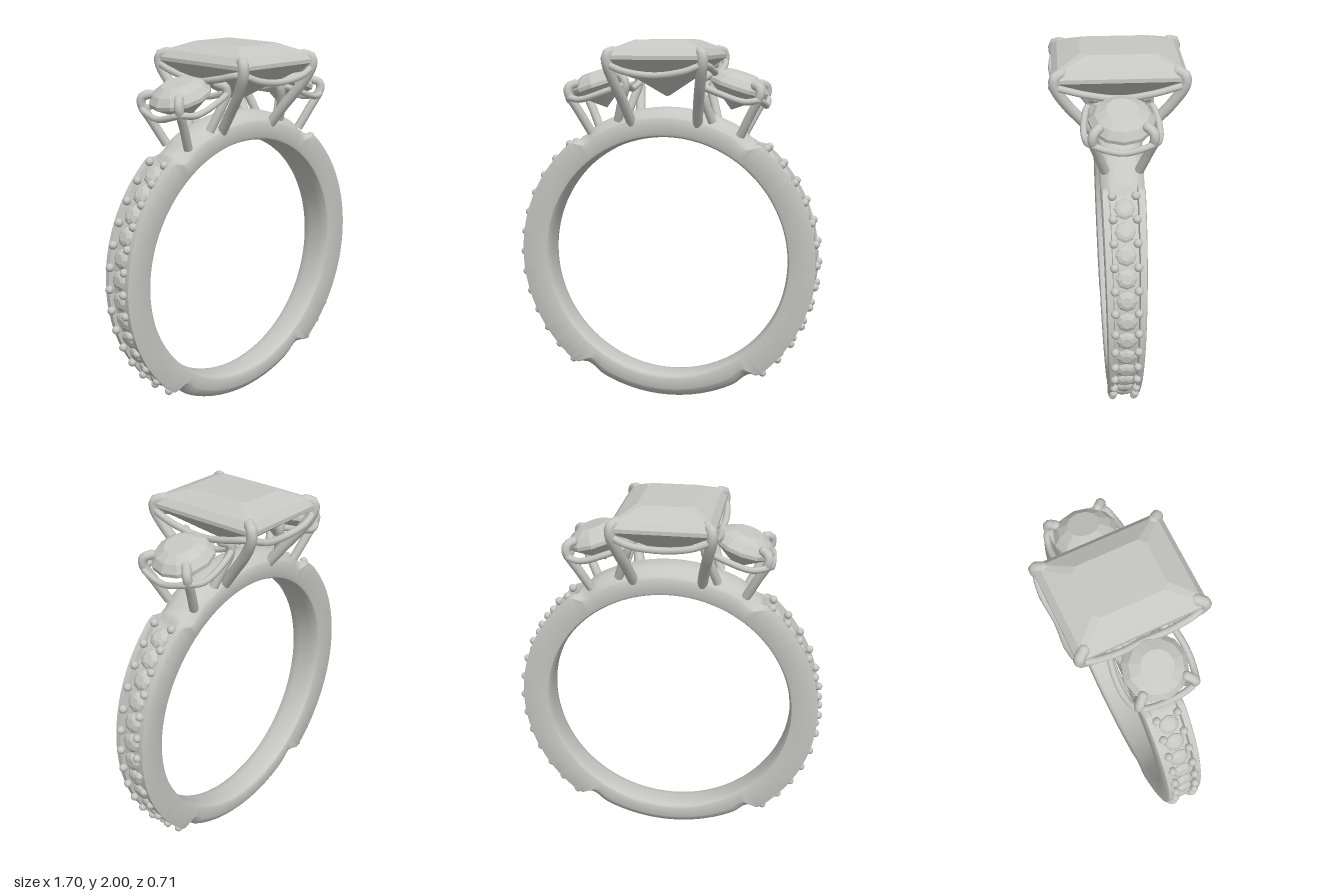
import * as THREE from 'three';
import { toCreasedNormals } from 'three/addons/utils/BufferGeometryUtils.js';

const metal = new THREE.MeshStandardMaterial({ color: 0xc6c6c2 });
metal.name = 'silver grey';

const CENTRE_Y = 0.81;
const rad = THREE.MathUtils.degToRad;
const V = (p) => new THREE.Vector3(...p);

function add(parent, name, geometry) {
  const mesh = new THREE.Mesh(geometry, metal);
  mesh.name = name;
  parent.add(mesh);
  return mesh;
}

function facet(geometry) {
  const g = geometry.index ? geometry.toNonIndexed() : geometry;
  g.computeVertexNormals();
  return g;
}

// Skin a list of closed cross-sections; optionally join the last to the first.
function loft(rings, closed) {
  const n = rings[0].length, m = rings.length, index = [];
  for (let i = 0; i < (closed ? m : m - 1); i++) {
    for (let j = 0; j < n; j++) {
      const i2 = ((i + 1) % m) * n, j2 = (j + 1) % n;
      const a = i * n + j, b = i * n + j2, c = i2 + j2, d = i2 + j;
      index.push(a, b, d, b, c, d);
    }
  }
  const g = new THREE.BufferGeometry();
  g.setAttribute('position', new THREE.Float32BufferAttribute(rings.flat(2), 3));
  g.setIndex(index);
  return g;
}

// Band: domed at top and bottom, with a sunken channel along both shoulders.
function bandGeometry() {
  const us = [1, 0.96, 0.85, 0.67, 0.62, 0.4, 0.2, 0];
  const outer = [...us, ...us.slice(0, -1).reverse().map((u) => -u)];
  const inner = [[-1, 0.695], [-0.95, 0.683], [-0.8, 0.675], [-0.4, 0.67],
    [0.4, 0.67], [0.8, 0.675], [0.95, 0.683], [1, 0.695]];
  const rings = [];
  const steps = 240;
  for (let i = 0; i < steps; i++) {
    const t = (i / steps) * Math.PI * 2;
    const s = Math.sin(t);
    const elevation = Math.abs(THREE.MathUtils.radToDeg(Math.asin(s)));
    const plain = THREE.MathUtils.smoothstep(elevation, 50, 54);
    const dip = 0.014 * Math.exp(-(((elevation - 56) / 3.5) ** 2));
    const half = 0.096 + 0.016 * s;
    const crown = 0.82 + 0.01 * s;
    const ring = outer.map((u) => {
      const w = Math.abs(u);
      const dome = crown - dip - 0.055 * w ** 3;
      const channel = w > 0.65 ? 0.825 - (w > 0.97 ? 0.008 : 0) : 0.797;
      return [u, THREE.MathUtils.lerp(channel, dome, plain)];
    }).concat(inner);
    rings.push(ring.map(([u, r]) => [r * Math.cos(t), CENTRE_Y + r * s, u * half]));
  }
  return toCreasedNormals(loft(rings, true), rad(38));
}

// Round brilliant stone, girdle at y = 0.
function roundStone(r, depth, height, sides) {
  const profile = [[0, -depth], [r, -0.06 * r], [r, 0.06 * r],
    [r * 0.82, height * 0.62], [r * 0.5, height], [0, height]];
  return facet(new THREE.LatheGeometry(profile.map((p) => new THREE.Vector2(...p)), sides));
}

// Rectangular step-cut stone with clipped corners.
function stepStone() {
  const layers = [[0, 0.04, 1.7, 0], [0.265, 0.335, 1.9, 0.018], [0.265, 0.335, 1.92, 0.018],
    [0.235, 0.305, 1.955, 0.018], [0.14, 0.19, 2, 0.03], [0, 0, 2, 0]];
  return facet(loft(layers.map(([x, z, y, c]) => [
    [x - c, y, z], [x, y, z - c], [x, y, c - z], [x - c, y, -z],
    [c - x, y, -z], [-x, y, c - z], [-x, y, z - c], [c - x, y, z]]), false));
}

// Bent wire with rounded tip.
function prong(parent, name, points, r) {
  const curve = new THREE.CatmullRomCurve3(points.map(V));
  add(parent, name, new THREE.TubeGeometry(curve, 24, r, 10));
  add(parent, name + 'Tip', new THREE.SphereGeometry(r, 12, 8)).position.copy(V(points.at(-1)));
}

function rail(parent, name, points, r) {
  const curve = new THREE.CatmullRomCurve3(points.map(V), true);
  add(parent, name, new THREE.TubeGeometry(curve, 96, r, 8, true));
}

function centreSetting() {
  const g = new THREE.Group();
  g.name = 'centreSetting';
  add(g, 'centreStone', stepStone());
  for (const sx of [1, -1]) {
    for (const sz of [1, -1]) {
      prong(g, 'centreProng', [[0.18, 1.55, 0.085], [0.2, 1.66, 0.17], [0.228, 1.78, 0.265],
        [0.25, 1.88, 0.32], [0.25, 1.925, 0.32], [0.225, 1.94, 0.285]]
        .map(([x, y, z]) => [x * sx, y, z * sz]), 0.028);
    }
  }
  // One quarter of the wavy gallery wire, mirrored round the stone
  const side = [[0.265, 1.82, 0], [0.275, 1.845, 0.16], [0.25, 1.875, 0.31],
    [0.16, 1.842, 0.335], [0, 1.82, 0.325]];
  const half = [...side, ...side.slice(0, -1).reverse().map(([x, y, z]) => [-x, y, z])];
  const back = half.slice(1, -1).reverse().map(([x, y, z]) => [x, y, -z]);
  rail(g, 'centreGalleryWire', [...half, ...back], 0.018);
  return g;
}

function sideSetting() {
  const g = new THREE.Group();
  g.name = 'sideSetting';
  const stone = add(g, 'sideStone', roundStone(0.163, 0.13, 0.075, 12));
  stone.position.set(0.385, 1.755, 0);
  stone.rotation.z = -0.31;
  for (const s of [1, -1]) {
    prong(g, 'outerProng', [[0.41, 1.5, 0.085 * s], [0.465, 1.61, 0.12 * s],
      [0.52, 1.72, 0.148 * s], [0.515, 1.752, 0.14 * s], [0.49, 1.765, 0.115 * s]], 0.024);
    prong(g, 'innerProng', [[0.26, 1.57, 0.085 * s], [0.225, 1.68, 0.125 * s],
      [0.2, 1.76, 0.148 * s], [0.21, 1.8, 0.145 * s], [0.24, 1.815, 0.12 * s]], 0.024);
  }
  rail(g, 'sideGalleryWire', [[0.535, 1.655, 0], [0.515, 1.69, 0.15], [0.44, 1.685, 0.18],
    [0.3, 1.73, 0.18], [0.2, 1.765, 0.145], [0.205, 1.735, 0],
    [0.2, 1.765, -0.145], [0.3, 1.73, -0.18], [0.44, 1.685, -0.18], [0.515, 1.69, -0.15]], 0.017);
  return g;
}

// Row of small stones held by paired beads along one shoulder.
function shoulderRow() {
  const g = new THREE.Group();
  g.name = 'shoulderRow';
  const stone = roundStone(0.053, 0.03, 0.02, 8);
  const bead = new THREE.SphereGeometry(0.022, 12, 8);
  const step = rad(8.1);
  for (let i = 0; i < 12; i++) {
    const t = (i - 5.5) * step;
    const m = add(g, 'shoulderStone', stone);
    m.position.set(0.806 * Math.cos(t), CENTRE_Y + 0.806 * Math.sin(t), 0);
    m.rotation.z = t - Math.PI / 2;
  }
  for (let i = 0; i < 13; i++) {
    const t = (i - 6) * step;
    for (const s of [1, -1]) {
      add(g, 'bead', bead).position.set(0.828 * Math.cos(t), CENTRE_Y + 0.828 * Math.sin(t), 0.058 * s);
    }
  }
  return g;
}

export function createModel() {
  const model = new THREE.Group();
  model.name = 'ring';
  add(model, 'band', bandGeometry()).position.set(0, 0, 0);
  model.add(centreSetting());
  // Left and right halves are half-turn copies
  for (const turn of [0, Math.PI]) {
    for (const part of [sideSetting(), shoulderRow()]) {
      part.rotation.y = turn;
      model.add(part);
    }
  }
  return model;
}
